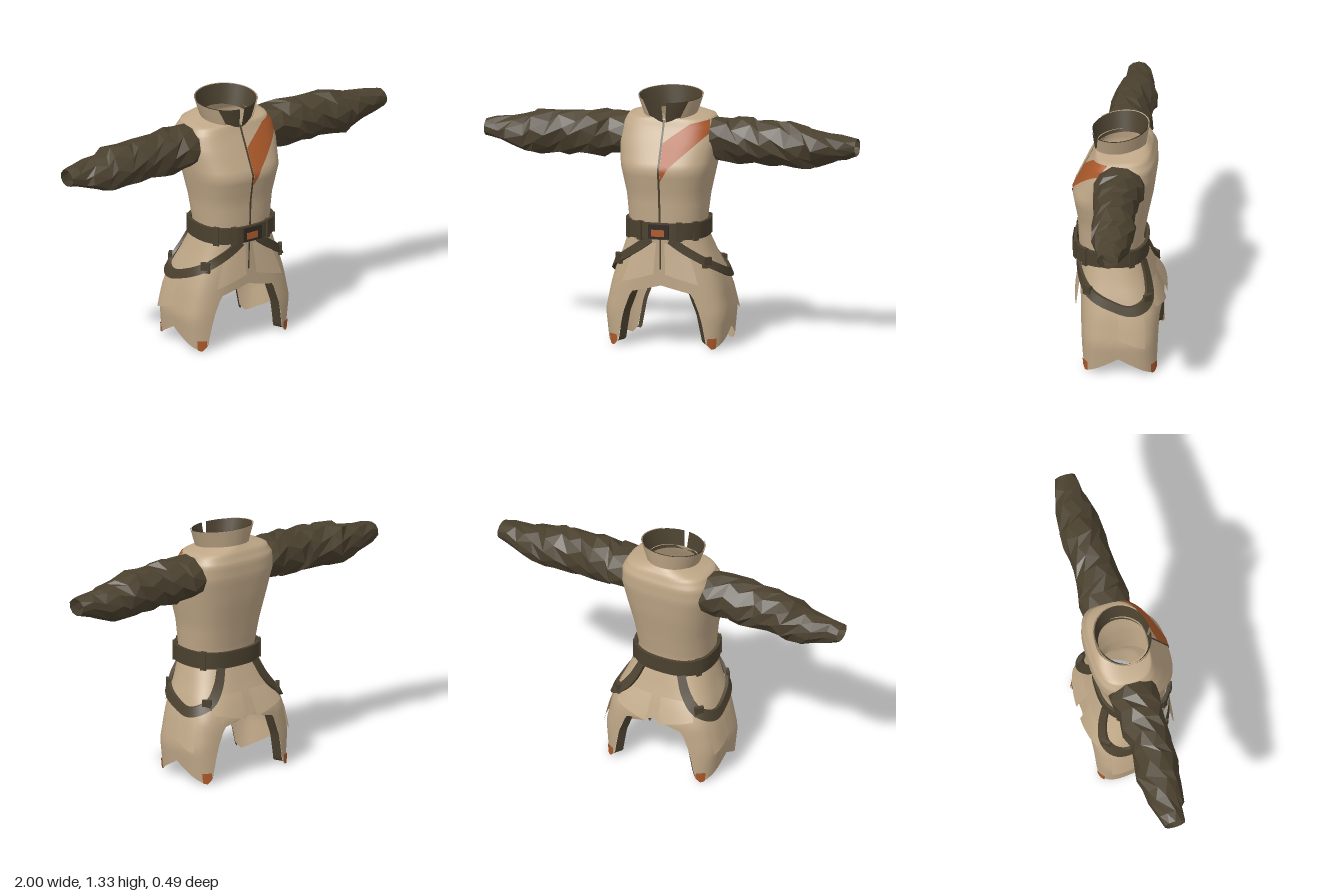
import * as THREE from 'three';
import { mergeVertices, toCreasedNormals } from 'three/addons/utils/BufferGeometryUtils.js';

const mat = (name, color) => new THREE.MeshStandardMaterial({ name, color, side: THREE.DoubleSide });

// Rings: [y, half width, front z, back z, squareness]
const TORSO = [
  [0.56, 0.2, 0.2, -0.13, 2.4], [0.66, 0.202, 0.21, -0.125, 2.4], [0.8, 0.215, 0.215, -0.15, 2.6],
  [0.95, 0.245, 0.24, -0.18, 2.8], [1.08, 0.262, 0.178, -0.198, 3], [1.16, 0.25, 0.138, -0.195, 3.2],
  [1.205, 0.225, 0.12, -0.175, 3], [1.225, 0.13, 0.12, -0.15, 2.1],
];
const SKIRT = [
  [-0.01, 0.31, 0.186, -0.232, 4], [0.18, 0.33, 0.19, -0.226, 4], [0.33, 0.3, 0.194, -0.228, 3.6],
  [0.42, 0.272, 0.197, -0.2, 3.2], [0.5, 0.24, 0.2, -0.17, 2.8], [0.6, 0.205, 0.205, -0.135, 2.4],
];
const BELT = [[0.5, 0.2, 0.218, -0.138, 2.5], [0.7, 0.204, 0.22, -0.14, 2.5]];
const HEM_FRONT = [[0, 0.335], [0.54, 0.295], [0.75, 0.03], [0.84, 0], [1, 0]];
const HEM_SIDE = [[0, 0.1], [0.84, 0], [1, 0]];

// Piecewise-linear lookup in rows keyed by their first entry
function lookup(rows, k) {
  const last = rows.length - 1;
  if (k <= rows[0][0]) return rows[0];
  if (k >= rows[last][0]) return rows[last];
  const i = rows.findIndex((r) => r[0] > k) - 1;
  const t = (k - rows[i][0]) / (rows[i + 1][0] - rows[i][0]);
  return rows[i].map((a, j) => a + (rows[i + 1][j] - a) * t);
}

// Point on a rounded-square ring; angle 0 is +x, a quarter turn is the front
function ringPoint(rings, angle, y, off = 0) {
  const [, w, front, back, n] = lookup(rings, y);
  const c = Math.cos(angle), s = Math.sin(angle);
  const r = (Math.abs(c) ** n + Math.abs(s) ** n) ** (-1 / n);
  return [(w + off) * r * c, y, (front + back) / 2 + ((front - back) / 2 + off) * r * s];
}

function frontZ(x, y, off) {
  const [, w, front, back, n] = lookup(TORSO, Math.min(y, 1.2));
  const f = Math.min(Math.abs(x) / w, 0.97);
  return (front + back) / 2 + ((front - back) / 2) * (1 - f ** n) ** (1 / n) + off;
}

// Surface through a grid of points, u and v both from 0 to 1
function surface(nu, nv, fn, smooth = true) {
  const pos = [], idx = [];
  for (let j = 0; j <= nv; j++) for (let i = 0; i <= nu; i++) pos.push(...fn(i / nu, j / nv));
  for (let j = 0; j < nv; j++) for (let i = 0; i < nu; i++) {
    const a = j * (nu + 1) + i, b = a + 1, c = a + nu + 1, d = c + 1;
    idx.push(a, c, b, b, c, d);
  }
  let g = new THREE.BufferGeometry();
  g.setAttribute('position', new THREE.Float32BufferAttribute(pos, 3));
  g.setIndex(idx);
  g = mergeVertices(g, 1e-4);
  if (!smooth) return toCreasedNormals(g, 0.35);
  g.computeVertexNormals();
  return g;
}

function seeded(seed) {
  return () => {
    seed = (seed * 16807) % 2147483647;
    return seed / 2147483647 - 0.5;
  };
}

const TAU = Math.PI * 2, RAD = Math.PI / 180, mix = THREE.MathUtils.lerp;

export function createModel() {
  const cloth = mat('beige cloth', 0xc0a888);
  const dark = mat('dark olive cloth', 0x4b412f);
  const orange = mat('orange trim', 0xad5a2b);
  const black = mat('dark metal', 0x2e2820);
  const model = new THREE.Group();
  model.name = 'jacket';
  const add = (name, geometry, material) => {
    const m = new THREE.Mesh(geometry, material);
    m.name = name;
    model.add(m);
    return m;
  };

  // Torso, open at the neck, with the neckline rising towards the back
  add('torso', surface(64, 28, (u, v) => {
    const k = v * 7, i = Math.min(6, Math.floor(k));
    const p = ringPoint(TORSO, u * TAU, mix(TORSO[i][0], TORSO[i + 1][0], k - i));
    if (p[1] > 1.2) p[1] -= p[2] * 0.12 * (p[1] - 1.2) / 0.025;
    return p;
  }), cloth);

  // Diagonal chest stripe and front zip
  const upper = [[0.005, 1.085], [0.05, 1.12], [0.14, 1.185], [0.222, 1.2]];
  const lower = [[0.005, 0.89], [0.05, 0.965], [0.12, 1.03], [0.24, 1.14]];
  add('chestStripe', surface(24, 10, (u, v) => {
    const a = lookup(lower, mix(0.005, 0.24, u)), b = lookup(upper, mix(0.005, 0.222, u));
    const x = mix(a[0], b[0], v), y = mix(a[1], b[1], v);
    return [x, y, frontZ(x, y, 0.006)];
  }), orange);
  add('zip', surface(2, 24, (u, v) => {
    const x = mix(-0.007, 0.004, u), y = mix(0.66, 1.2, v);
    return [x, y, frontZ(x, y, 0.005)];
  }), dark);
  add('lowerZip', surface(1, 8, (u, v) => {
    const p = ringPoint(SKIRT, Math.PI / 2, mix(0.42, 0.6, v), 0.004);
    return [mix(-0.004, 0.004, u), p[1], p[2]];
  }), dark);

  // Standing collar: beige outside, dark lining, dark front facings beside a narrow gap
  const collarPoint = (a, v, off) => {
    const x = Math.cos(a) * (mix(0.135, 0.172, v) + off), z = Math.sin(a) * (mix(0.138, 0.154, v) + off) - 0.003;
    return [x, mix(1.205 - z * 0.15, 1.312 - z * 0.13, v), z];
  };
  const collar = (from, to, off) => surface(32, 2, (u, v) => {
    const gap = mix(from, to, v) * RAD;
    return collarPoint(Math.PI / 2 + mix(gap, TAU - gap, u), v, off);
  });
  add('collar', collar(32, 46, 0), cloth);
  add('collarLining', collar(3, 5, -0.007), dark);

  // Sleeves: crumpled faceted tubes [x, top, bottom, front z, back z]
  const SLEEVE = [
    [0.225, 1.2, 0.985, 0.105, -0.145], [0.32, 1.2, 0.97, 0.105, -0.145], [0.5, 1.2, 0.965, 0.095, -0.125],
    [0.58, 1.2, 0.965, 0.09, -0.12], [0.7, 1.185, 0.95, 0.095, -0.145], [0.8, 1.16, 0.965, 0.075, -0.125],
    [0.88, 1.14, 1, 0.055, -0.11], [1, 1.125, 1.035, 0.035, -0.075],
  ];
  for (const side of [1, -1]) {
    const rand = seeded(side > 0 ? 4127 : 9173);
    const sides = 10, rings = 11, jitter = [];
    for (let i = 0; i < sides * (rings + 1); i++) jitter.push([rand(), rand()]);
    const g = surface(sides, rings, (u, v) => {
      const i = Math.round(u * sides) % sides, j = Math.round(v * rings);
      const [x, top, bottom, front, back] = lookup(SLEEVE, mix(0.225, 1, v));
      const [r1, r2] = jitter[j * sides + i];
      const a = u * TAU + (j % 2) * 0.3, end = j === 0 || j === rings;
      const k = 1.02 + (end ? 0.08 : 0.2) * r1;
      return [side * (x + (end ? 0 : 0.05 * r2)),
        (top + bottom) / 2 + ((top - bottom) / 2) * k * Math.sin(a),
        (front + back) / 2 + ((front - back) / 2) * k * Math.cos(a)];
    }).toNonIndexed();
    g.computeVertexNormals();
    add(side > 0 ? 'leftSleeve' : 'rightSleeve', g, dark);
  }

  // Skirt: high cut at centre front and back, long tails at the four corners
  const hemAt = (a) => {
    const n = 4, c = Math.abs(Math.cos(a)), s = Math.abs(Math.sin(a));
    const r = (c ** n + s ** n) ** (-1 / n);
    return c < s ? lookup(HEM_FRONT, r * c)[1] : lookup(HEM_SIDE, r * s)[1];
  };
  add('skirt', surface(144, 16, (u, v) => {
    const a = u * TAU;
    return ringPoint(SKIRT, a, mix(hemAt(a), 0.6, v));
  }), cloth);

  // Dark turned-in facings along the inner edges of the tails, and orange corner tabs
  for (const sx of [1, -1]) for (const sz of [1, -1]) {
    add('tailFacing', surface(24, 1, (u, v) => {
      const a = sz * mix(49, 68, u) * RAD, p = ringPoint(SKIRT, a, hemAt(a) + 0.002, -0.002);
      return [sx * (p[0] - v * 0.03), p[1] + v * 0.006, p[2] - sz * v * 0.035];
    }), dark);
    add('cornerTab', surface(4, 2, (u, v) => {
      const a = sz * mix(41, 50, u) * RAD, p = ringPoint(SKIRT, a, mix(hemAt(a), 0.06, v), 0.005);
      return [sx * p[0], p[1], p[2]];
    }), orange);
  }

  // Loose cloth flaps on the skirt: [name, from, to angle, top, bottom, lift]
  const FLAPS = [['frontFlap', 56, 84, 0.56, 0.35, 0.03], ['sidePocket', -34, 0, 0.42, 0.17, 0.012],
    ['backFlap', -84, -50, 0.46, 0.32, 0.018]];
  for (const sx of [1, -1]) for (const [name, from, to, top, bottom, lift] of FLAPS) {
    add(name, surface(8, 4, (u, v) => {
      const y = mix(bottom + u * 0.05, top, v);
      const p = ringPoint(SKIRT, mix(from, to, u) * RAD, y, mix(lift, 0.003, v));
      return [sx * p[0], p[1], p[2]];
    }, false), cloth);
  }

  // Belt with loops and buckle
  const band = [[0.585, 0], [0.585, 0.016], [0.672, 0.016], [0.672, 0], [0.585, 0]];
  add('belt', surface(48, 4, (u, v) => {
    const [y, off] = band[Math.round(v * 4)];
    return ringPoint(BELT, u * TAU, y, off);
  }, false), dark);
  for (const deg of [38, 62, 118, 142, 215, 325]) {
    const a = deg * RAD, p = ringPoint(BELT, a, 0.628, 0.012);
    const loop = add('beltLoop', new THREE.BoxGeometry(0.03, 0.1, 0.02), dark);
    loop.position.set(...p);
    loop.rotation.y = Math.PI / 2 - a;
  }
  add('buckle', new THREE.BoxGeometry(0.11, 0.075, 0.02), black).position.set(0, 0.627, 0.231);
  add('buckleInset', new THREE.BoxGeometry(0.07, 0.036, 0.009), orange).position.set(-0.005, 0.62, 0.239);

  // Thigh straps from belt front, round the hip, to belt back: [angle, y]
  const path = new THREE.CatmullRomCurve3([[76, 0.585], [54, 0.51], [36, 0.455], [10, 0.405], [-20, 0.375],
    [-45, 0.42], [-55, 0.5], [-60, 0.59]].map(([d, y]) => new THREE.Vector3(d * RAD * 0.25, y, 0)));
  const strapProfile = [[-0.024, 0.004], [-0.024, 0.02], [0.024, 0.02], [0.024, 0.004], [-0.024, 0.004]];
  for (const sx of [1, -1]) {
    add('thighStrap', surface(48, 4, (u, v) => {
      const c = path.getPoint(u), t = path.getTangent(u), [w, off] = strapProfile[Math.round(v * 4)];
      const p = ringPoint(SKIRT, (c.x - t.y * w) / 0.25, c.y + t.x * w, off);
      return [sx * p[0], p[1], p[2]];
    }, false), dark);
    for (const [deg, y] of [[38, 0.46], [-43, 0.42]]) {
      const p = ringPoint(SKIRT, deg * RAD, y, 0.014);
      const clip = add('strapClip', new THREE.BoxGeometry(0.05, 0.055, 0.02), dark);
      clip.position.set(sx * p[0], p[1], p[2]);
      clip.rotation.y = sx * (Math.PI / 2 - deg * RAD);
    }
  }
  return model;
}
